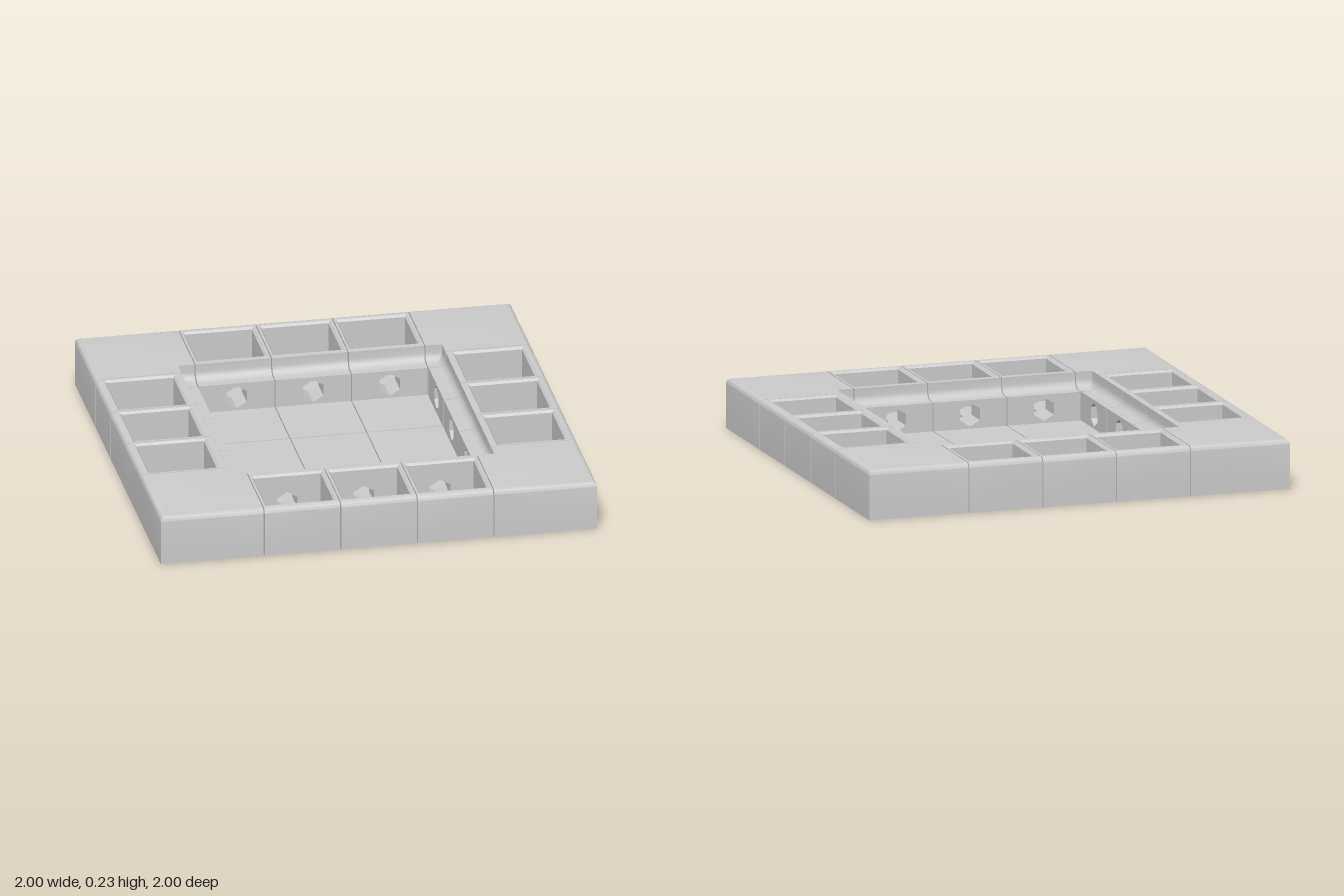
import * as THREE from 'three';
import { toCreasedNormals } from 'three/addons/utils/BufferGeometryUtils.js';

const TILE = 0.351;   // pitch of the middle tiles
const IN = 0.529;     // inner face of the border
const LIP = 0.605;    // raised lip around the ledge
const TOP = 0.23, LEDGE = 0.155, FLOOR = 0.025, GAP = 0.005;
const COVE = 0.04, ROUND = 0.025;
const W = TILE - GAP; // width of a border tile
const P0 = 0.645, P1 = 0.952, PH = 0.153, CH = 0.01; // pocket limits and rim chamfer
const mat = new THREE.MeshStandardMaterial({ color: 0xcccccc, side: THREE.DoubleSide });

const arc = (cx, cy, r, a0, a1, n = 6) => Array.from({ length: n + 1 }, (_, i) => {
  const a = a0 + (a1 - a0) * i / n;
  return [cx + r * Math.cos(a), cy + r * Math.sin(a)];
});
const shapeOf = pts => new THREE.Shape(pts.map(p => new THREE.Vector2(...p)));
const rect = (x0, y0, x1, y1) => shapeOf([[x0, y0], [x1, y0], [x1, y1], [x0, y1]]);
const extrude = (shape, depth) => new THREE.ExtrudeGeometry(shape, { depth, bevelEnabled: false });

function hexHole(shape, cx, cy, r) {
  const pts = [];
  for (let i = 0; i < 6; i++) {
    const a = Math.PI / 2 - i * Math.PI / 3;
    pts.push(new THREE.Vector2(cx + r * Math.cos(a), cy + r * Math.sin(a)));
  }
  shape.holes.push(new THREE.Path(pts));
  return shape;
}

function add(group, name, geometry) {
  const mesh = new THREE.Mesh(toCreasedNormals(geometry, 0.6), mat);
  mesh.name = name;
  group.add(mesh);
}

// (outward, height) profile run across the width of a tile
const across = pts => extrude(shapeOf(pts), W).rotateY(-Math.PI / 2).translate(W / 2, 0, 0);

const coveLine = [[IN, LEDGE], ...arc(LIP - COVE, LEDGE + COVE, COVE, -Math.PI / 2, 0), [LIP, TOP]];
const outerLine = [...arc(1 - ROUND, TOP - ROUND, ROUND, Math.PI / 2, 0)];

// Border tile with a square pocket and hexagonal openings
function pocketTile() {
  const g = new THREE.Group();
  g.name = 'pocketTile';
  const base = 0.012;
  add(g, 'pocketBase', new THREE.BoxGeometry(W, base, 1 - IN).translate(0, base / 2, (1 + IN) / 2));
  const floor = hexHole(rect(-W / 2, IN, W / 2, 1), 0, (P0 + P1) / 2, 0.057);
  add(g, 'pocketFloor', extrude(floor, FLOOR - base).rotateX(Math.PI / 2).translate(0, FLOOR, 0));
  add(g, 'outerWall', across([[P1, FLOOR], [P1, TOP - CH], [P1 + CH, TOP], ...outerLine, [1, FLOOR]]));
  const inner = hexHole(rect(-W / 2, FLOOR, W / 2, LEDGE), 0, 0.087, 0.054);
  add(g, 'innerWall', extrude(inner, P0 - IN).translate(0, 0, IN));
  add(g, 'lip', across([...coveLine, [P0 - CH, TOP], [P0, TOP - CH], [P0, LEDGE]]));
  for (const s of [-1, 1]) {
    const side = shapeOf([[s * W / 2, FLOOR], [s * W / 2, TOP], [s * (PH + CH), TOP],
      [s * PH, TOP - CH], [s * PH, FLOOR]]);
    add(g, 'dividerWall', extrude(side, P1 + CH - P0 + CH).translate(0, 0, P0 - CH));
  }
  return g;
}

// Solid corner: the border profile swept around a mitred right angle
function cornerTile() {
  const g = new THREE.Group();
  g.name = 'cornerTile';
  const line = [...coveLine, ...outerLine, [1, 0]];
  const pos = [];
  const quad = (a, b, c, d) => pos.push(...a, ...b, ...c, ...a, ...c, ...d);
  for (let i = 0; i < line.length - 1; i++) {
    const [m, y] = line[i], [n, h] = line[i + 1];
    quad([IN, y, m], [IN, h, n], [n, h, n], [m, y, m]);
    quad([m, y, m], [n, h, n], [n, h, IN], [m, y, IN]);
  }
  quad([IN, 0, IN], [1, 0, IN], [1, 0, 1], [IN, 0, 1]);
  const skin = new THREE.BufferGeometry();
  skin.setAttribute('position', new THREE.Float32BufferAttribute(pos, 3));
  add(g, 'cornerBlock', skin);
  const end = shapeOf([...line, [IN, 0]]);
  add(g, 'cornerSide', new THREE.ShapeGeometry(end).translate(0, 0, IN));
  add(g, 'cornerSide', new THREE.ShapeGeometry(end).rotateY(-Math.PI / 2).translate(IN, 0, 0));
  return g;
}

export function createModel() {
  const model = new THREE.Group();
  model.name = 'tiledTray';

  // Centre floor, three by three tiles
  for (let i = -1; i <= 1; i++) for (let j = -1; j <= 1; j++) {
    add(model, 'floorTile', new THREE.BoxGeometry(W, FLOOR, W).translate(i * TILE, FLOOR / 2, j * TILE));
  }

  // Four identical sides, each with three pockets and a corner
  for (let k = 0; k < 4; k++) {
    const side = new THREE.Group();
    side.name = 'borderSide';
    for (let i = -1; i <= 1; i++) {
      const tile = pocketTile();
      tile.position.x = i * TILE;
      side.add(tile);
    }
    side.add(cornerTile());
    side.rotation.y = k * Math.PI / 2;
    model.add(side);
  }
  return model;
}
